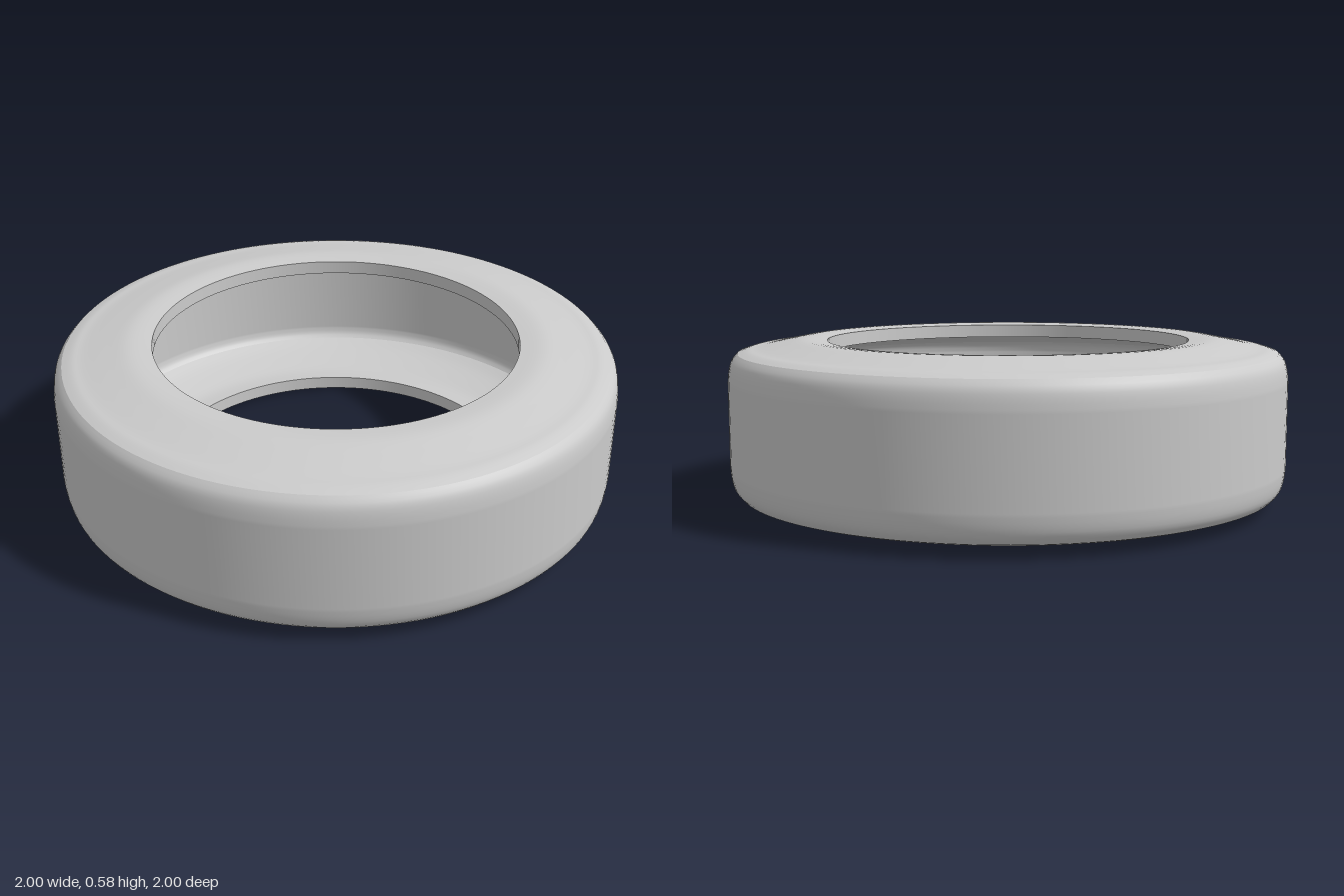
import * as THREE from 'three';

const HEIGHT = 0.585;
const SEGMENTS = 128;

// Smooth curve through a few [radius, height] points
const smooth = (pts, n) =>
  new THREE.SplineCurve(pts.map(([r, y]) => new THREE.Vector2(r, y))).getPoints(n);

// Mirror a profile about mid height, reversed so the faces keep pointing outward
const mirror = (pts) => pts.map(([r, y]) => [r, HEIGHT - y]).reverse();

export function createModel() {
  const group = new THREE.Group();
  group.name = 'tire';
  const material = new THREE.MeshStandardMaterial({ color: 0xcccccc });

  // Each surface is its own lathe, so the edges between them stay sharp
  const addRing = (name, points) => {
    const mesh = new THREE.Mesh(new THREE.LatheGeometry(points, SEGMENTS), material);
    mesh.name = name;
    group.add(mesh);
  };

  // Upper half profiles
  const shoulder = [[1, 0.44], [0.996, 0.48], [0.986, 0.515], [0.965, 0.54]];
  const sidewall = [[0.965, 0.54], [0.93, 0.551], [0.89, 0.556], [0.81, 0.572], [0.73, 0.585], [0.65, 0.579]];
  const lip = [[0.65, 0.579], [0.65, 0.53]];
  const innerSidewall = [[0.65, 0.53], [0.73, 0.535], [0.81, 0.522], [0.88, 0.505], [0.93, 0.485]];
  const innerShoulder = [[0.93, 0.485], [0.944, 0.467], [0.95, 0.44]];

  // Tread and the inside wall behind it
  addRing('tread', [...smooth(mirror(shoulder), 8), ...smooth(shoulder, 8)]);
  addRing('innerWall', [...smooth(innerShoulder, 6), ...smooth(mirror(innerShoulder), 6)]);

  // Sidewalls, bead lips and inside of the sidewalls, top and bottom
  for (const [side, profile] of [['upper', (p) => p], ['lower', mirror]]) {
    addRing(side + 'Sidewall', smooth(profile(sidewall), 20));
    addRing(side + 'BeadLip', smooth(profile(lip), 1));
    addRing(side + 'InnerSidewall', smooth(profile(innerSidewall), 16));
  }
  return group;
}
